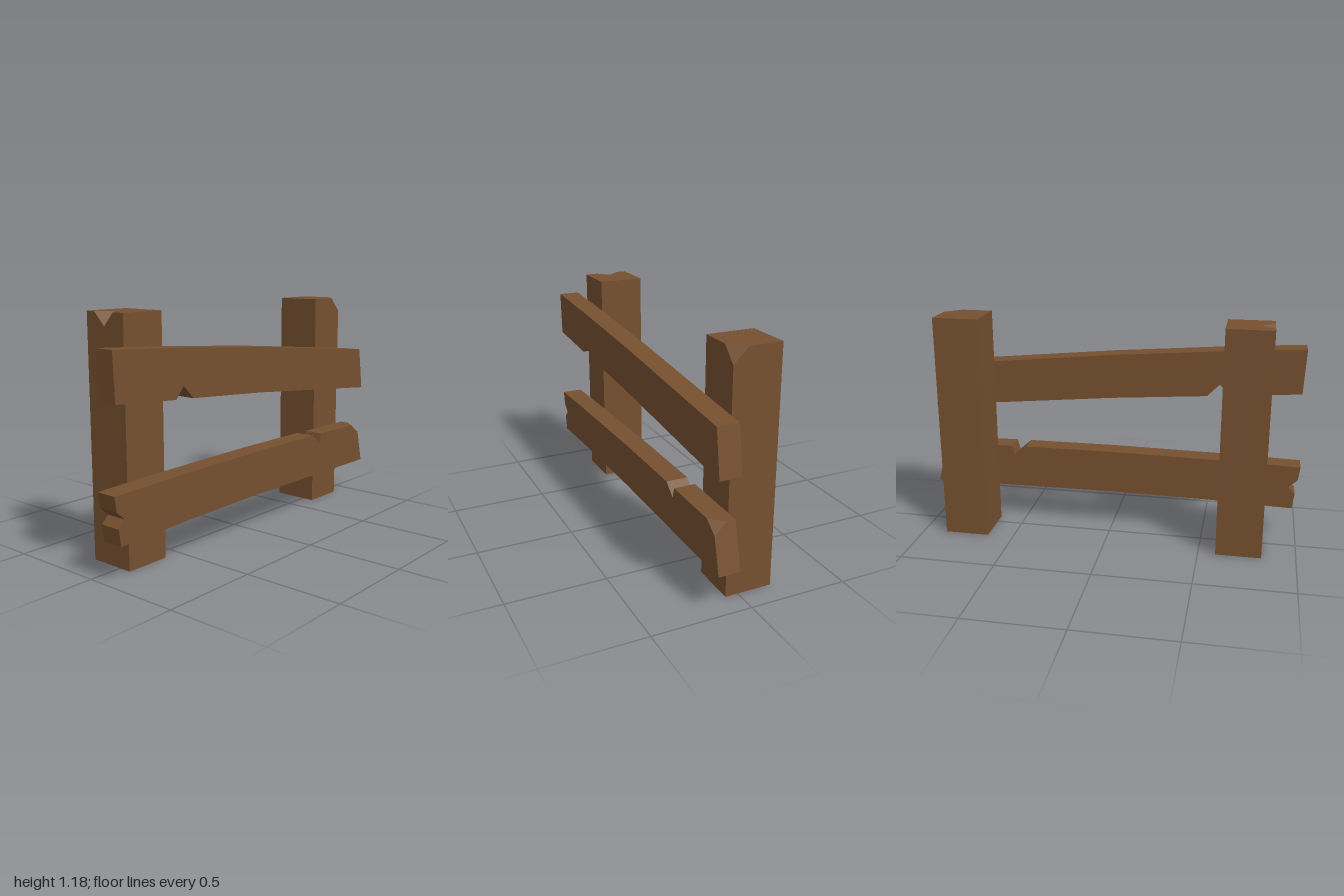
import * as THREE from 'three';

const V = (p, z) => new THREE.Vector3(p[0], p[1], z);

// Straight solid along z from a counter-clockwise outline.
// chip = { at, drop, pit }: outline point "at" is sunk by "drop" at the far end, leaving
// a cut corner, or a notch reaching in to the point "pit".
function chippedPrism(outline, z0, z1, chip) {
  const pos = [];
  const tri = (...v) => v.forEach((p) => pos.push(p.x, p.y, p.z));
  const n = outline.length;
  const topZ = (i) => (chip && i === chip.at ? z1 - chip.drop : z1);

  // side walls
  outline.forEach((p, i) => {
    const j = (i + 1) % n, q = outline[j];
    const a = V(p, z0), b = V(q, z0), c = V(q, topZ(j)), d = V(p, topZ(i));
    tri(a, b, c);
    tri(a, c, d);
  });

  // end caps
  const cap = (points, z, flip) => {
    const flat = points.map((p) => new THREE.Vector2(p[0], p[1]));
    for (const f of THREE.ShapeUtils.triangulateShape(flat, [])) {
      const [a, b, c] = f.map((k) => V(points[k], z));
      if (flip) tri(c, b, a);
      else tri(a, b, c);
    }
  };
  cap(outline, z0, true);
  const top = outline.slice();
  if (chip) top.splice(chip.at, 1, ...(chip.pit ? [chip.pit] : []));
  cap(top, z1, false);

  // facets of the chip
  if (chip) {
    const a = V(outline[(chip.at + n - 1) % n], z1);
    const c = V(outline[chip.at], topZ(chip.at));
    const b = V(outline[(chip.at + 1) % n], z1);
    if (chip.pit) {
      const p = V(chip.pit, z1);
      tri(a, c, p);
      tri(c, b, p);
    } else tri(a, c, b);
  }

  const geo = new THREE.BufferGeometry();
  geo.setAttribute('position', new THREE.Float32BufferAttribute(pos, 3));
  geo.computeVertexNormals();
  return geo;
}

export function createModel() {
  const group = new THREE.Group();
  group.name = 'brokenFence';
  const wood = new THREE.MeshStandardMaterial({ color: 0x75502f });
  wood.name = 'brownWood';
  const add = (name, geo) => {
    const mesh = new THREE.Mesh(geo, wood);
    mesh.name = name;
    group.add(mesh);
  };

  // posts: plan outlines in (x, -z), raised to stand upright
  const height = 1.185;
  const post = (name, plan, chip) =>
    add(name, chippedPrism(plan, 0, height, chip).rotateX(-Math.PI / 2));

  // notch in the outer top edge
  post('rightPost', [
    [-0.825, -0.065], [-0.59, -0.065], [-0.59, 0.175], [-0.825, 0.175],
    [-0.825, 0.125], [-0.825, 0.06], [-0.825, 0],
  ], { at: 5, drop: 0.065, pit: [-0.76, 0.06] });

  // broken top corner
  post('leftPost', [
    [0.64, -0.065], [0.8, -0.065], [0.875, -0.065], [0.875, 0.01],
    [0.875, 0.175], [0.64, 0.175],
  ], { at: 2, drop: 0.075 });

  // sagging upper rail, notched underneath
  add('upperRail', chippedPrism([
    [-0.98, 0.815], [-0.615, 0.787], [-0.565, 0.845], [-0.5, 0.78],
    [0, 0.743], [0.98, 0.65], [0.945, 0.882], [0, 0.975], [-0.59, 1.022], [-0.99, 1.047],
  ], 0.065, 0.175));

  // lower rail: split left end, notched top edge, broken right corner
  add('lowerRail', chippedPrism([
    [-0.97, 0.186], [-0.55, 0.2], [0, 0.207], [0.997, 0.2],
    [0.952, 0.38], [0.94, 0.43], [0.88, 0.431], [0.56, 0.435], [0.545, 0.38], [0.48, 0.436],
    [0, 0.438], [-0.6, 0.43], [-1, 0.42], [-0.99, 0.347], [-0.945, 0.305], [-0.98, 0.267],
  ], 0.065, 0.175, { at: 5, drop: 0.065 }));

  return group;
}
